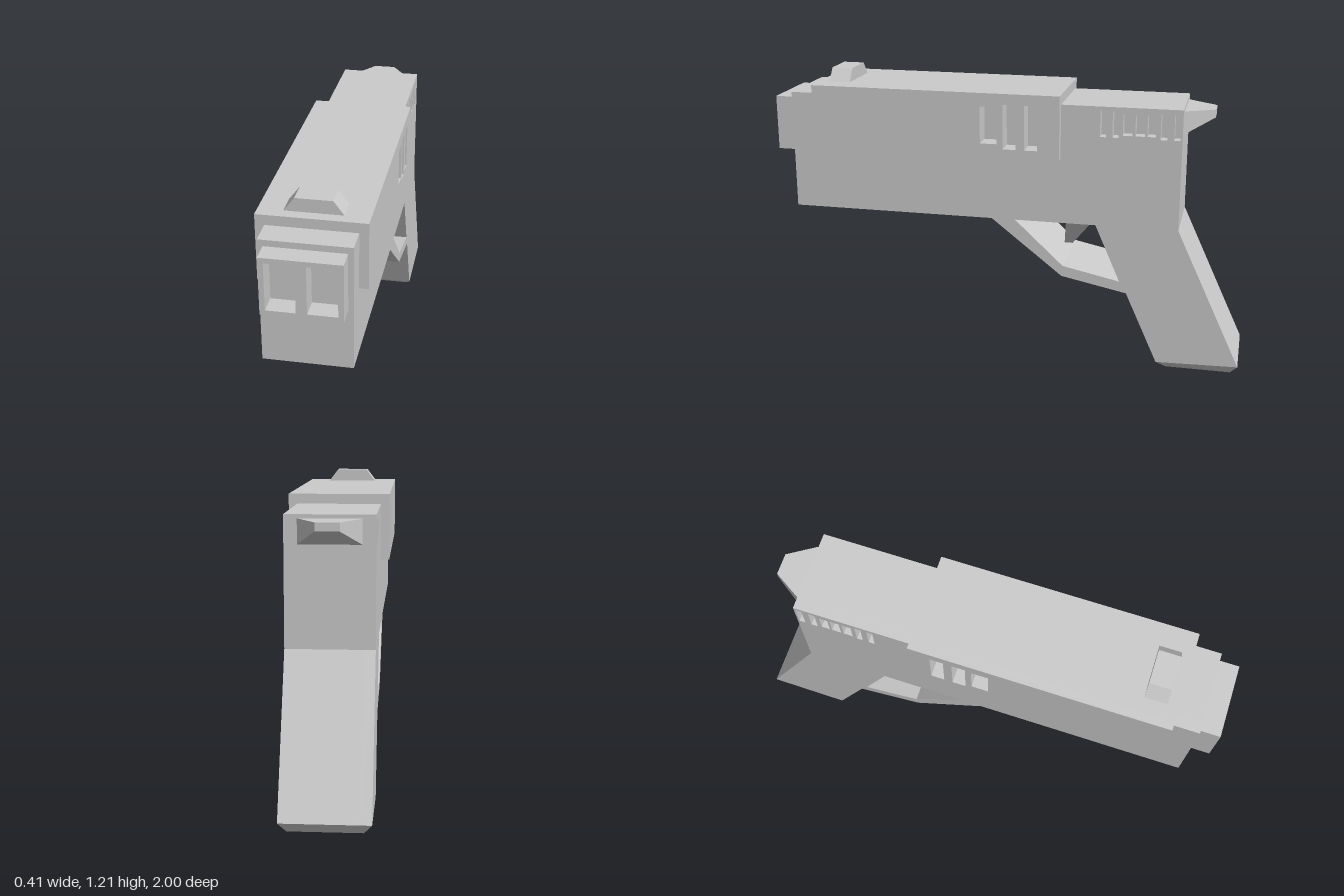
import * as THREE from 'three';
import { ConvexGeometry } from 'three/addons/geometries/ConvexGeometry.js';

const material = new THREE.MeshStandardMaterial({ color: 0xcccccc, flatShading: true });

const points = (list) => list.map(([a, b]) => new THREE.Vector2(a, b));
const rect = (a0, a1, b0, b1) => [[a0, b0], [a1, b0], [a1, b1], [a0, b1]];

function add(group, name, geometry) {
  const mesh = new THREE.Mesh(geometry, material);
  mesh.name = name;
  group.add(mesh);
}

function extrude(outline, holes, depth) {
  const shape = new THREE.Shape(points(outline));
  holes.forEach((h) => shape.holes.push(new THREE.Path(points(h))));
  return new THREE.ExtrudeGeometry(shape, { depth, bevelEnabled: false });
}

// Side profile in (z, y), extruded across the width from x0 to x1
function sideExtrude(outline, holes, x0, x1) {
  return extrude(outline, holes, x1 - x0).rotateY(-Math.PI / 2).translate(x1, 0, 0);
}

// Convex solid from [halfWidth, y, z] corners mirrored across x
function mirroredSolid(corners) {
  return new ConvexGeometry(corners.flatMap(([x, y, z]) => [
    new THREE.Vector3(x, y, z), new THREE.Vector3(-x, y, z),
  ]));
}

export function createModel() {
  const group = new THREE.Group();
  const inner = 0.125, frameX = 0.17, slideX = 0.205;

  // Frame, guard and grip share one profile
  const frame = [
    [0.92, 0.62], [0.92, 1.12], [-0.73, 1.12], [-0.73, 0.62], [-1, 0.04],
    [-0.66, 0.03], [-0.525, 0.33], [-0.25, 0.385], [0.05, 0.62],
  ];
  const guardHole = [[-0.05, 0.62], [-0.255, 0.43], [-0.495, 0.38], [-0.39, 0.62]];

  // Recessed slots
  const slideSlots = [
    rect(0.02, 0.09, 0.95, 1.105), rect(-0.06, -0.005, 0.93, 1.115), rect(-0.15, -0.095, 0.93, 1.115),
  ];
  const rearSlots = [
    [-0.425, -0.4], [-0.475, -0.45], [-0.53, -0.492], [-0.58, -0.542],
    [-0.625, -0.59], [-0.67, -0.643], [-0.722, -0.697],
  ].map(([z0, z1], i) => {
    const short = i > 1 && i < 5;
    return rect(z0, z1, short ? 1.005 : 0.995, short ? 1.09 : 1.102);
  });

  const slide = rect(-0.24, 0.815, 0.895, 1.16);
  add(group, 'frameCore', sideExtrude(frame, [guardHole], -inner, inner));
  add(group, 'slideTop', sideExtrude(rect(-0.24, 0.815, 1.12, 1.16), [], -frameX, frameX));
  for (const [side, s] of [['left', 1], ['right', -1]]) {
    const span = (a, b) => (s > 0 ? [a, b] : [-b, -a]);
    add(group, `${side}FrameSide`,
      sideExtrude(frame, [guardHole, ...slideSlots, ...rearSlots], ...span(inner, frameX)));
    add(group, `${side}SlideSide`, sideExtrude(slide, slideSlots, ...span(frameX, slideX)));
  }

  // Muzzle block with two square openings
  add(group, 'muzzle', extrude(rect(-0.15, 0.15, 0.865, 1.095),
    [rect(0.02, 0.13, 0.885, 1.075), rect(-0.13, -0.02, 0.885, 1.075)], 0.08).translate(0, 0, 0.92));

  // Front sight
  add(group, 'frontSight', extrude([[-0.11, 1.16], [0.11, 1.16], [0.07, 1.213], [-0.07, 1.213]], [], 0.09)
    .translate(0, 0, 0.68));

  // Rear tang, tapering backwards
  add(group, 'rearTang', mirroredSolid([
    [0.12, 1.105, -0.73], [0.12, 1.01, -0.73], [0.045, 1.102, -0.85], [0.045, 1.07, -0.85],
  ]));

  // Trigger, narrowing downwards
  add(group, 'trigger', mirroredSolid([
    [0.13, 0.62, -0.26], [0.13, 0.62, -0.37], [0.04, 0.49, -0.24], [0.04, 0.49, -0.275],
  ]));

  // Chamfered grip base
  add(group, 'gripBase', mirroredSolid([
    [frameX, 0.03, -0.66], [frameX, 0.04, -1], [0.14, 0, -0.7], [0.14, 0, -0.97],
  ]));

  return group;
}
